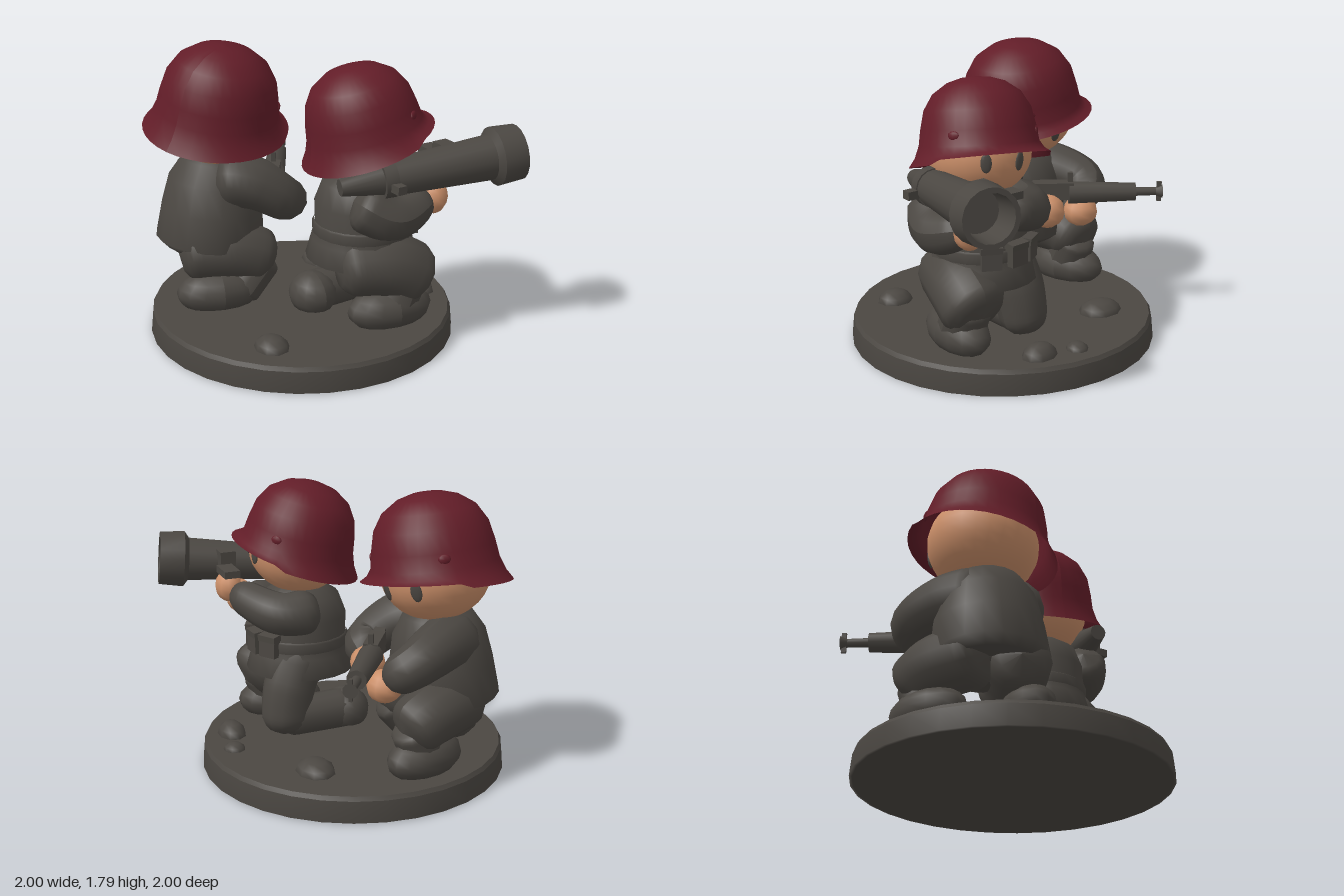
import * as THREE from 'three';
import { toCreasedNormals } from 'three/addons/utils/BufferGeometryUtils.js';

const mat = (name, color, extra = {}) => {
  const m = new THREE.MeshStandardMaterial({ color, ...extra });
  m.name = name;
  return m;
};
const grey = mat('stone grey', 0x4b4742);
const red = mat('dark red', 0x621d28, { side: THREE.DoubleSide });
const skin = mat('skin', 0xcb8f69);
const V = (a) => new THREE.Vector3(...a);
const rad = THREE.MathUtils.degToRad;

function add(parent, name, geo, material, pos = [0, 0, 0], scale = [1, 1, 1]) {
  const m = new THREE.Mesh(geo, material);
  m.name = name;
  m.position.set(...pos);
  m.scale.set(...scale);
  parent.add(m);
  return m;
}
const lathe = (pts, n = 20, start = 0) =>
  new THREE.LatheGeometry(pts.map((p) => new THREE.Vector2(...p)), n, start);
const ball = (parent, name, material, pos, scale, w = 14, h = 10) =>
  add(parent, name, new THREE.SphereGeometry(1, w, h), material, pos, scale);

// Round-ended limb along points [x, y, z, radius]
function limb(parent, name, pts) {
  const curve = pts.length > 2
    ? new THREE.CatmullRomCurve3(pts.map((p) => V(p.slice(0, 3))))
    : new THREE.LineCurve3(V(pts[0].slice(0, 3)), V(pts[1].slice(0, 3)));
  const seg = 20, sides = 12;
  const geo = new THREE.TubeGeometry(curve, seg, 1, sides, false);
  const p = geo.attributes.position, v = new THREE.Vector3();
  for (let i = 0; i < p.count; i++) {
    const t = Math.floor(i / (sides + 1)) / seg;
    const c = curve.getPointAt(t);
    const f = t * (pts.length - 1), k = Math.min(Math.floor(f), pts.length - 2);
    let r = THREE.MathUtils.lerp(pts[k][3], pts[k + 1][3], f - k);
    const e = Math.min(t, 1 - t) / 0.2;
    if (e < 1) r *= Math.sqrt(1 - (1 - e) ** 2);
    v.fromBufferAttribute(p, i).sub(c).multiplyScalar(r).add(c);
    p.setXYZ(i, v.x, v.y, v.z);
  }
  geo.computeVertexNormals();
  return add(parent, name, geo, grey);
}

// Helmet with flared skirt, deep at the back and stepped up over the face at +z
function helmetGeometry() {
  const geo = lathe([[0.455, -0.14], [0.415, -0.07], [0.385, 0.02], [0.37, 0.12], [0.343, 0.24],
    [0.282, 0.34], [0.185, 0.408], [0.09, 0.437], [0, 0.443]], 36, Math.PI);
  const p = geo.attributes.position;
  for (let i = 0; i < p.count; i++) {
    const x = p.getX(i), y = p.getY(i), z = p.getZ(i);
    if (y > 0) continue;
    const c = z / Math.hypot(x, z);
    p.setY(i, y * (1 - 0.28 * (c + 1) - 0.2 * THREE.MathUtils.smoothstep(c, 0.35, 0.5)));
  }
  geo.computeVertexNormals();
  return geo;
}

function head(parent, pos, scale, yaw, pitch, roll) {
  const g = new THREE.Group();
  g.name = 'head';
  g.position.set(...pos);
  g.scale.setScalar(scale);
  g.rotation.set(rad(pitch), rad(yaw), rad(roll), 'YXZ');
  parent.add(g);
  add(g, 'helmet', helmetGeometry(), red);
  ball(g, 'face', skin, [0, -0.035, 0], [0.335, 0.29, 0.335], 24, 16);
  for (const s of [-1, 1]) {
    const a = s * rad(21), r = 0.327;
    const eye = ball(g, 'eye', grey, [Math.sin(a) * r, -0.095, Math.cos(a) * r], [0.036, 0.062, 0.012], 10, 8);
    eye.rotation.set(rad(12), a, 0, 'YXZ');
    const b = s * rad(52);
    const vent = ball(g, 'helmetVent', red, [Math.sin(b) * 0.37, 0.085, Math.cos(b) * 0.37], [0.04, 0.03, 0.014], 8, 6);
    vent.rotation.y = b;
  }
}

// Boot: rounded foot, flat underneath, heading along yaw
function boot(parent, pos, len, yaw) {
  const geo = new THREE.SphereGeometry(1, 14, 10);
  const p = geo.attributes.position;
  for (let i = 0; i < p.count; i++) p.setY(i, Math.max(p.getY(i), -0.65));
  geo.computeVertexNormals();
  const m = add(parent, 'boot', geo, grey, pos, [0.16, 0.14, len / 2]);
  m.rotation.y = rad(yaw);
}

// Crouching soldier with a rifle
function rifleman() {
  const g = new THREE.Group();
  g.name = 'rifleSoldier';
  head(g, [-0.39, 1.345, -0.435], 1, 112, 0, 10);
  const coat = add(g, 'coat', lathe([[0, 0.5], [0.3, 0.49], [0.36, 0.54], [0.335, 0.75], [0.3, 0.93],
    [0.22, 1.06], [0.1, 1.12], [0, 1.13]]), grey, [-0.52, 0, -0.43], [0.95, 1, 0.98]);
  coat.rotation.z = -0.1;
  ball(g, 'hips', grey, [-0.4, 0.54, -0.42], [0.22, 0.14, 0.22]);
  limb(g, 'rightArm', [[-0.5, 0.98, -0.3, 0.18], [-0.3, 0.95, -0.16, 0.17], [-0.1, 0.82, -0.11, 0.14], [0, 0.77, -0.3, 0.11]]);
  limb(g, 'leftArm', [[-0.54, 0.9, -0.48, 0.2], [-0.32, 0.91, -0.65, 0.17], [-0.1, 0.84, -0.74, 0.14], [0, 0.73, -0.62, 0.11]]);
  ball(g, 'rightHand', skin, [0.0, 0.75, -0.34], [0.11, 0.11, 0.115], 10, 8);
  ball(g, 'leftHand', skin, [0.01, 0.7, -0.61], [0.11, 0.1, 0.115], 10, 8);
  limb(g, 'rightLeg', [[-0.72, 0.5, -0.38, 0.19], [-0.38, 0.5, -0.22, 0.19], [-0.16, 0.4, -0.17, 0.17]]);
  limb(g, 'leftLeg', [[-0.6, 0.53, -0.52, 0.19], [-0.24, 0.5, -0.69, 0.19], [-0.06, 0.41, -0.72, 0.18]]);
  limb(g, 'rightShin', [[-0.2, 0.45, -0.18, 0.13], [-0.42, 0.2, -0.19, 0.13]]);
  limb(g, 'leftShin', [[-0.12, 0.48, -0.7, 0.14], [-0.24, 0.2, -0.68, 0.14]]);
  boot(g, [-0.52, 0.25, -0.22], 0.55, 76);
  boot(g, [-0.22, 0.25, -0.69], 0.54, 108);

  // Rifle points along local +z
  const rifle = new THREE.Group();
  rifle.name = 'rifle';
  rifle.position.set(0.17, 0.855, -0.67);
  rifle.rotation.y = Math.atan2(0.33, -0.48);
  g.add(rifle);
  const rod = (name, r0, r1, z0, z1) => {
    const m = add(rifle, name, new THREE.CylinderGeometry(r1, r0, z1 - z0, 10), grey, [0, 0, (z0 + z1) / 2]);
    m.rotation.x = Math.PI / 2;
  };
  rod('handguard', 0.075, 0.06, -0.23, 0.2);
  rod('barrel', 0.03, 0.026, 0.2, 0.36);
  rod('muzzle', 0.026, 0.045, 0.33, 0.375);
  add(rifle, 'foresight', new THREE.BoxGeometry(0.02, 0.13, 0.03), grey, [0, 0, 0.355]);
  add(rifle, 'receiver', new THREE.BoxGeometry(0.09, 0.11, 0.26), grey, [0, 0.02, -0.33]);
  add(rifle, 'rearSight', new THREE.BoxGeometry(0.03, 0.07, 0.03), grey, [0, 0.1, -0.22]);
  const stock = add(rifle, 'stock', new THREE.BoxGeometry(0.07, 0.11, 0.24), grey, [0, 0.02, -0.52]);
  stock.rotation.x = 0.12;
  return g;
}

// Kneeling soldier with a shoulder launcher
function gunner() {
  const g = new THREE.Group();
  g.name = 'launcherSoldier';
  head(g, [0.19, 1.345, 0.34], 0.92, 82, -13, -4);
  add(g, 'coat', lathe([[0, 0.56], [0.3, 0.54], [0.355, 0.55], [0.32, 0.67], [0.295, 0.76], [0.3, 0.9],
    [0.25, 1.03], [0.14, 1.1], [0, 1.12]]), grey, [0.185, 0, 0.33], [0.98, 1, 0.96]);
  add(g, 'belt', lathe([[0.3, 0.7], [0.312, 0.71], [0.312, 0.77], [0.3, 0.78]]), grey, [0.185, 0, 0.33], [0.98, 1, 0.96]);
  for (const a of [-32, -6, 26]) {
    const c = Math.cos(rad(a)), s = Math.sin(rad(a));
    const pouch = add(g, 'pouch', new THREE.BoxGeometry(0.09, 0.14, 0.12), grey,
      [0.17 + 0.315 * c, 0.755, 0.33 + 0.29 * s]);
    pouch.rotation.y = -rad(a);
    const flap = add(pouch, 'pouchFlap', new THREE.BoxGeometry(0.1, 0.04, 0.13), grey, [0, 0.055, 0]);
    flap.rotation.z = -0.1;
  }
  limb(g, 'rightArm', [[-0.02, 1.0, 0.54, 0.16], [0.18, 0.89, 0.65, 0.14], [0.47, 0.96, 0.62, 0.1]]);
  limb(g, 'leftArm', [[0.14, 0.98, 0.1, 0.15], [0.38, 0.97, 0.12, 0.13], [0.6, 1.06, 0.43, 0.1]]);
  ball(g, 'rightHand', skin, [0.49, 0.96, 0.63], [0.09, 0.11, 0.1], 10, 8);
  ball(g, 'leftHand', skin, [0.6, 1.07, 0.51], [0.085, 0.1, 0.1], 10, 8);
  limb(g, 'rightThigh', [[-0.08, 0.54, 0.43, 0.18], [0.25, 0.53, 0.53, 0.2], [0.48, 0.38, 0.54, 0.21]]);
  limb(g, 'rightShin', [[0.38, 0.5, 0.55, 0.15], [0.24, 0.18, 0.55, 0.15]]);
  boot(g, [0.25, 0.25, 0.55], 0.56, 84);
  limb(g, 'leftThigh', [[0.2, 0.74, 0.2, 0.16], [0.33, 0.45, 0.16, 0.165], [0.38, 0.16, 0.13, 0.14]]);
  limb(g, 'leftShin', [[0.42, 0.27, 0.13, 0.12], [-0.12, 0.28, 0.15, 0.13]]);
  boot(g, [-0.06, 0.27, 0.16], 0.3, 90);

  // Launcher: hollow muzzle, tube, collar and tapered tail along local +y
  const launcher = new THREE.Group();
  launcher.name = 'launcher';
  launcher.position.set(0.14, 1.14, 0.64);
  launcher.quaternion.setFromUnitVectors(new THREE.Vector3(0, 1, 0), V([1, 0.085, 0.23]).normalize());
  g.add(launcher);
  const shell = lathe([[0, -0.29], [0.05, -0.29], [0.095, -0.04], [0.118, -0.04], [0.118, 0.04], [0.11, 0.04],
    [0.138, 0.66], [0.18, 0.69], [0.17, 0.845], [0.14, 0.845], [0.125, 0.66], [0, 0.66]], 18);
  add(launcher, 'launcherTube', toCreasedNormals(shell, 0.6), grey);
  add(g, 'grip', new THREE.BoxGeometry(0.06, 0.05, 0.14), grey, [0.13, 1.12, 0.75]);
  add(g, 'sightMount', new THREE.BoxGeometry(0.1, 0.15, 0.1), grey, [0.58, 1.2, 0.61]);
  add(g, 'sight', new THREE.BoxGeometry(0.1, 0.045, 0.18), grey, [0.61, 1.175, 0.47]);
  return g;
}

export function createModel() {
  const model = new THREE.Group();
  model.name = 'soldiersOnBase';
  // Round base: side shaded smoothly into the underside, bevelled top
  const basePos = [-0.04, 0, -0.01], baseScale = [1, 1, 1.01];
  add(model, 'base', lathe([[0, 0], [0.94, 0], [0.958, 0.003], [0.945, 0.135]], 32), grey, basePos, baseScale);
  add(model, 'baseTop', toCreasedNormals(lathe([[0.945, 0.135], [0.93, 0.16], [0, 0.16]], 32), 0.5), grey, basePos, baseScale);
  // Rocks: x, z, radius x, radius z, height
  for (const [x, z, rx, rz, h] of [[0.39, -0.46, 0.12, 0.15, 0.08], [0.74, 0.03, 0.07, 0.07, 0.05],
    [0.68, 0.27, 0.09, 0.12, 0.09], [-0.55, 0.48, 0.105, 0.12, 0.08]])
    ball(model, 'rock', grey, [x, 0.155, z], [rx, h, rz], 9, 6);
  model.add(rifleman(), gunner());
  return model;
}
